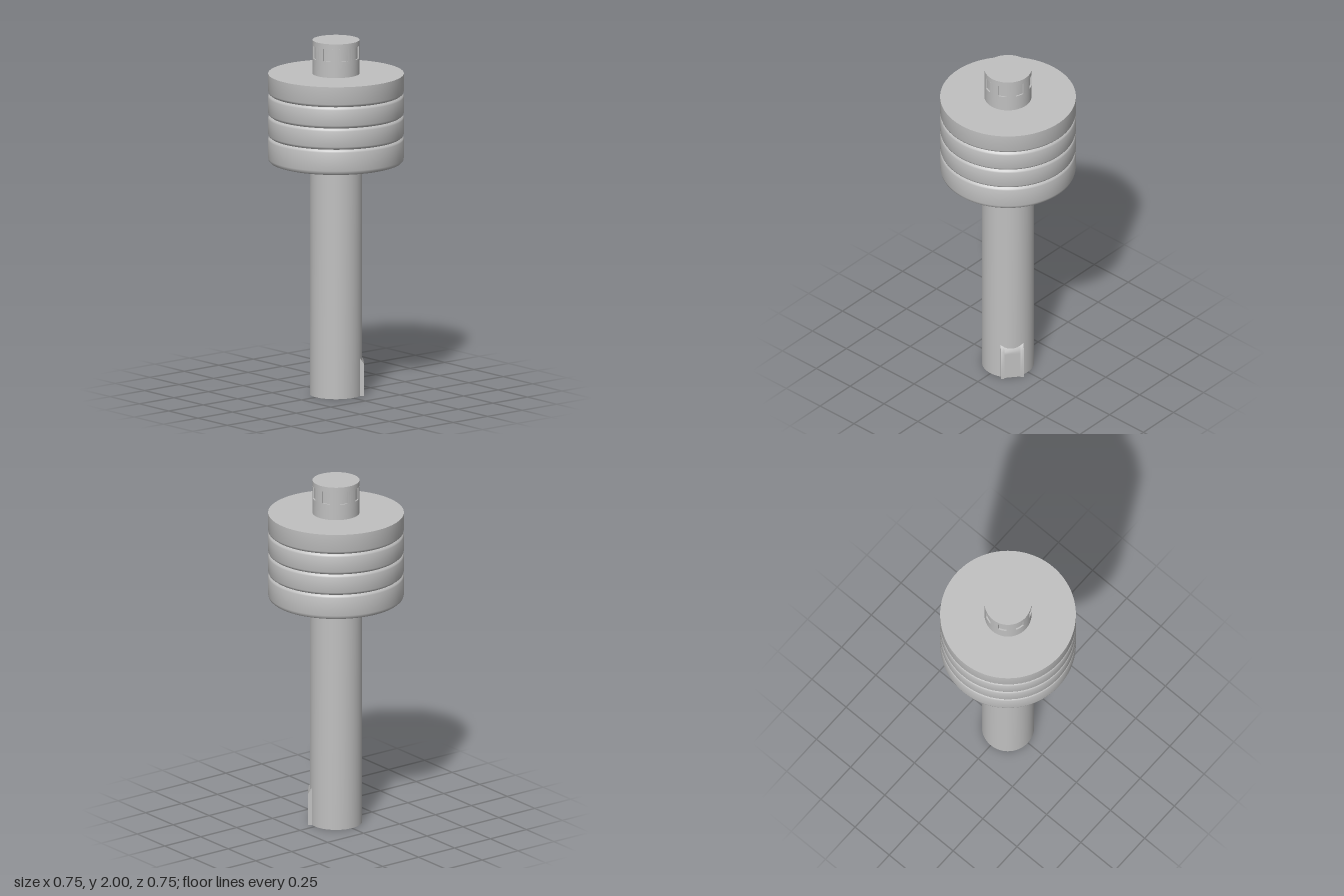
import * as THREE from 'three';
import { toCreasedNormals } from 'three/addons/utils/BufferGeometryUtils.js';

const rad = THREE.MathUtils.degToRad;

export function createModel() {
  const model = new THREE.Group();
  const grey = new THREE.MeshStandardMaterial({ color: 0xc0c0c0 });
  grey.name = 'plain grey';

  const add = (name, geometry, parent = model) => {
    const mesh = new THREE.Mesh(toCreasedNormals(geometry, rad(35)), grey);
    mesh.name = name;
    parent.add(mesh);
    return mesh;
  };
  const cylinder = (name, r, y0, y1, parent) =>
    add(name, new THREE.CylinderGeometry(r, r, y1 - y0, 64).translate(0, (y0 + y1) / 2, 0), parent);

  // Long round shaft
  cylinder('shaft', 0.145, 0, 1.32);

  // Wide head: four stacked bands with softened edges and fine grooves between
  const R = 0.375;
  const profile = [[0, 1.31], [0.352, 1.31], [0.364, 1.314], [0.372, 1.322], [R, 1.335]];
  for (const y of [1.455, 1.575, 1.695]) {
    profile.push([R, y - 0.016], [0.372, y - 0.007], [0.363, y], [0.372, y + 0.007], [R, y + 0.016]);
  }
  profile.push([R, 1.81], [0, 1.81]);
  add('bandedHead', new THREE.LatheGeometry(profile.map(([x, y]) => new THREE.Vector2(x, y)), 96));

  // Top knob with eight sunken windows between posts
  const knob = new THREE.Group();
  knob.name = 'topKnob';
  model.add(knob);
  cylinder('knobBase', 0.13, 1.8, 1.9, knob);
  cylinder('knobCore', 0.122, 1.89, 1.98, knob);
  cylinder('knobCap', 0.13, 1.97, 2, knob);
  const half = rad(12);
  for (let i = 0; i < 8; i++) {
    const mid = rad(4.5 + 45 * i - 90);
    const sector = new THREE.Shape();
    sector.absarc(0, 0, 0.13, mid - half, mid + half, false);
    sector.absarc(0, 0, 0.115, mid + half, mid - half, true);
    const post = new THREE.ExtrudeGeometry(sector, { depth: 0.07, bevelEnabled: false, curveSegments: 6 });
    add('knobPost', post.rotateX(-Math.PI / 2).translate(0, 1.9, 0), knob);
  }

  // Key block at the foot: slanted top, sunken outer face between two cheeks
  const key = new THREE.Group();
  key.name = 'keyBlock';
  key.rotation.y = rad(141);
  model.add(key);
  const slab = (name, points, t0, t1) => {
    const shape = new THREE.Shape(points.map(([x, y]) => new THREE.Vector2(x, y)));
    const g = new THREE.ExtrudeGeometry(shape, { depth: t1 - t0, bevelEnabled: false });
    add(name, g.rotateY(-Math.PI / 2).translate(t1, 0, 0), key);
  };
  const top = [[0.154, 0.18], [0.13, 0.215], [0.08, 0.215]];
  const cheek = [[0.08, 0], [0.154, 0], ...top];
  slab('keyCheek', cheek, -0.064, -0.045);
  slab('keyCheek', cheek, 0.045, 0.064);
  slab('keyCentre', [[0.08, 0], [0.147, 0], [0.147, 0.16], [0.154, 0.16], ...top], -0.045, 0.045);

  return model;
}
